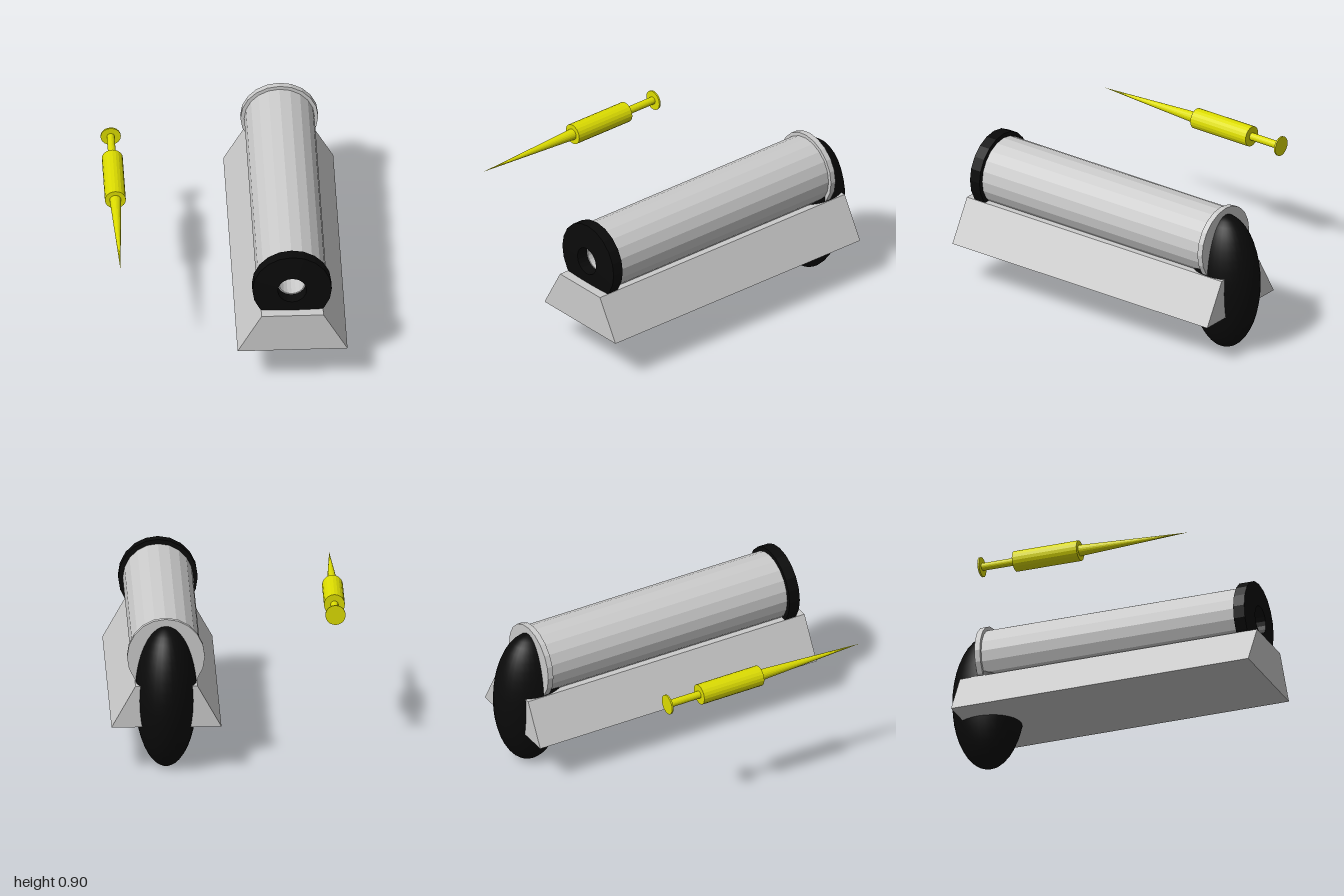
import * as THREE from 'three';

const grey = new THREE.MeshStandardMaterial({ color: 0xcccccc, flatShading: true });
const black = new THREE.MeshStandardMaterial({ color: 0x0a0a0a, flatShading: true });
const blackSmooth = new THREE.MeshStandardMaterial({ color: 0x0a0a0a });
const yellow = new THREE.MeshStandardMaterial({ color: 0xdddd00, flatShading: true });

// Turned part along z; profile is [radius, z], outer side from back to front
function turned(name, profile, material, x, y, sides = 20) {
  const geometry = new THREE.LatheGeometry(profile.map(([r, z]) => new THREE.Vector2(r, z)), sides);
  geometry.rotateX(Math.PI / 2);
  const mesh = new THREE.Mesh(geometry, material);
  mesh.name = name;
  mesh.position.set(x, y, 0);
  return mesh;
}

// Hollow ring or tube along z, closed at both ends
function hollow(name, outer, inner, back, front, bulge, material, x, y) {
  return turned(name, [
    [inner, back], [outer, back], [outer, front], [inner, front + bulge], [inner, back],
  ], material, x, y);
}

export function createModel() {
  const model = new THREE.Group();
  const cx = 0.372, cy = 0.668;

  // Trapezoid base
  const section = new THREE.Shape([
    [-0.325, 0.268], [0.325, 0.268], [0.183, 0.52], [-0.183, 0.52],
  ].map(([x, y]) => new THREE.Vector2(x, y)));
  const base = new THREE.Mesh(
    new THREE.ExtrudeGeometry(section, { depth: 1.89, bevelEnabled: false }), grey);
  base.name = 'base';
  base.position.set(cx, 0, -0.89);
  model.add(base);

  // Barrel with its bore, rear flange and front cap
  const barrel = new THREE.Group();
  barrel.name = 'barrelAssembly';
  barrel.add(
    hollow('barrel', 0.208, 0.078, -0.76, 0.875, 0, grey, cx, cy),
    hollow('rearFlange', 0.23, 0.078, -0.78, -0.745, 0, grey, cx, cy),
    hollow('frontCap', 0.235, 0.085, 0.868, 0.938, 0.01, black, cx, cy),
  );
  model.add(barrel);

  // Rear ellipsoid
  const bulb = new THREE.Mesh(new THREE.SphereGeometry(1, 32, 20), blackSmooth);
  bulb.name = 'rearBulb';
  bulb.scale.set(0.184, 0.428, 0.22);
  bulb.position.set(cx, 0.428, -0.78);
  model.add(bulb);

  // Separate dart: end disc, rod, body and needle
  const dart = new THREE.Group();
  dart.name = 'dart';
  const dx = -0.64, dy = 0.81;
  dart.add(
    turned('endDisc', [[0, -0.425], [0.06, -0.425], [0.06, -0.415], [0, -0.415]], yellow, dx, dy),
    turned('rod', [[0.023, -0.418], [0.023, -0.2]], yellow, dx, dy),
    turned('body', [[0, -0.205], [0.062, -0.205], [0.062, 0.205], [0, 0.205]], yellow, dx, dy),
    turned('needle', [[0.034, 0.2], [0, 0.89]], yellow, dx, dy),
  );
  model.add(dart);

  return model;
}
